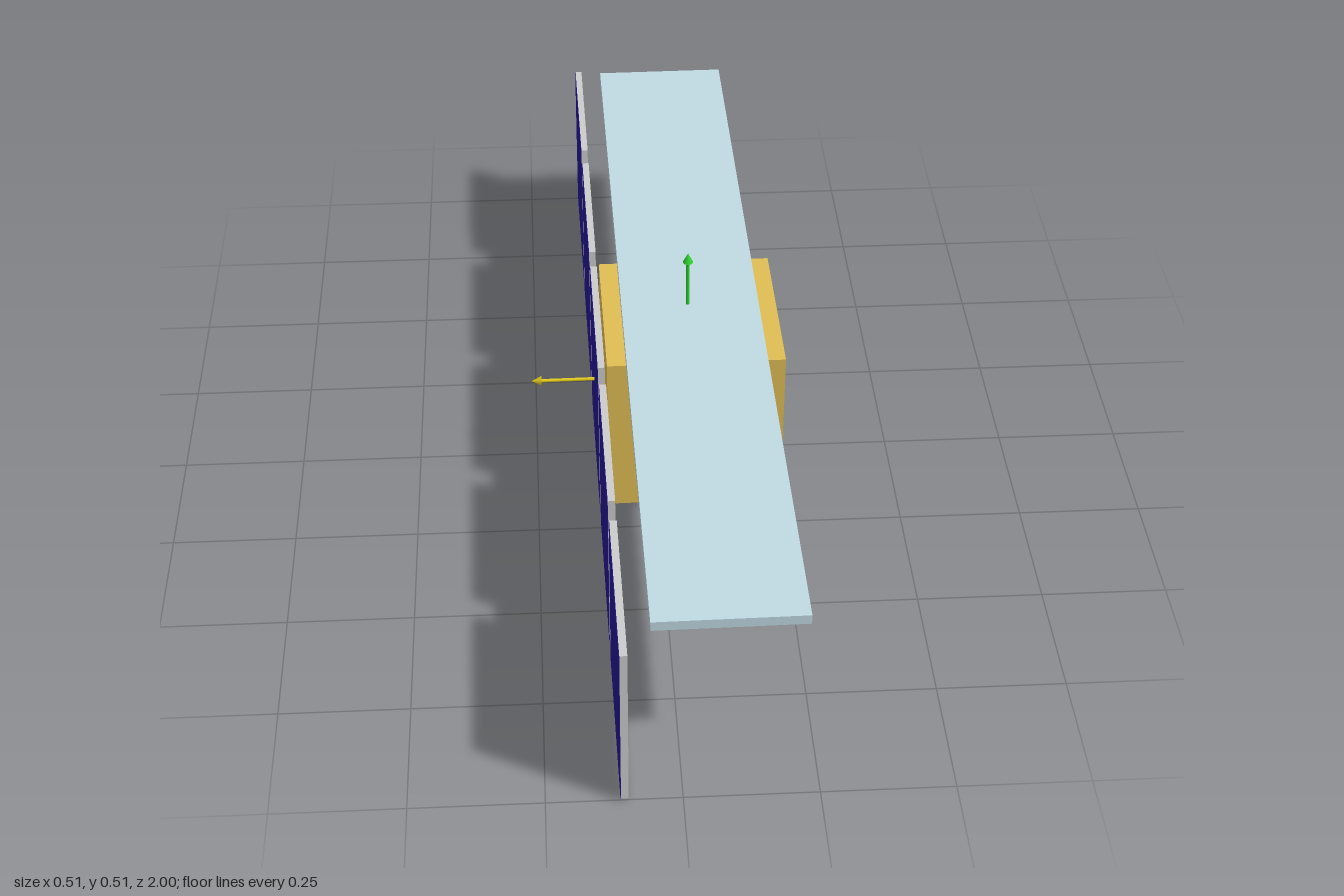
import * as THREE from 'three';

const mat = (color) => new THREE.MeshStandardMaterial({ color });
const GREY = mat(0xcccccc), GOLD = mat(0xe0bc54), BLUE = mat(0x22178c);
const PALE = mat(0xc0d9e2), RED = mat(0xd42020);
const GREEN = mat(0x30d030), YELLOW = mat(0xe0c81e);

function add(parent, name, geometry, material, x = 0, y = 0, z = 0) {
  const mesh = new THREE.Mesh(geometry, material);
  mesh.name = name;
  mesh.position.set(x, y, z);
  parent.add(mesh);
  return mesh;
}

// Thin rod with a cone tip, pointing along dir from its start point
function arrow(name, material, start, dir, length) {
  const g = new THREE.Group(), head = 0.021;
  g.name = name;
  add(g, 'shaft', new THREE.CylinderGeometry(0.0036, 0.0036, length - head, 16), material, 0, (length - head) / 2);
  add(g, 'tip', new THREE.ConeGeometry(0.0105, head, 16), material, 0, length - head / 2);
  g.position.set(...start);
  g.quaternion.setFromUnitVectors(new THREE.Vector3(0, 1, 0), new THREE.Vector3(...dir));
  return g;
}

export function createModel() {
  const model = new THREE.Group();
  model.name = 'satellite';
  const cx = 0.075, cz = -0.003;

  // Cubic body with a round emblem-free adapter disc underneath
  add(model, 'body', new THREE.BoxGeometry(0.36, 0.36, 0.36), GOLD, cx, 0.183, cz);
  add(model, 'bottomDisc', new THREE.CylinderGeometry(0.097, 0.097, 0.004, 48), RED, 0.07, 0.002, cz);

  // Long flat antenna plate on top
  add(model, 'antennaPlate', new THREE.BoxGeometry(0.283, 0.02, 1.895), PALE, cx, 0.373, -0.005);

  // Row of five solar panels: grey backing, blue cells on the outer side
  const size = 0.356, pitch = 0.411, wingX = -0.1165;
  for (let i = -2; i <= 2; i++) {
    const panel = new THREE.Group();
    panel.name = 'solarPanel';
    add(panel, 'backing', new THREE.BoxGeometry(0.014, size, size), GREY);
    add(panel, 'cells', new THREE.BoxGeometry(0.001, size, size), BLUE, -0.0075);
    panel.position.set(wingX, 0.183, i * pitch);
    model.add(panel);
  }

  // Pairs of hinge bars bridging the gaps
  for (const i of [-1.5, -0.5, 0.5, 1.5]) {
    for (const y of [0.113, 0.262]) {
      add(model, 'hingeBar', new THREE.BoxGeometry(0.008, 0.029, pitch - size), GREY, wingX, y, i * pitch);
    }
  }

  // Direction arrows
  model.add(
    arrow('upArrow', GREEN, [0.07, 0.363, 0], [0, 1, 0], 0.145),
    arrow('sideArrow', YELLOW, [-0.123, 0.198, 0], [-1, 0, 0], 0.134),
    arrow('rearArrow', GREY, [0.07, 0.2, -0.18], [0, 0, -1], 0.133),
  );

  // The whole craft is yawed very slightly
  model.rotation.y = 0.0105;
  const root = new THREE.Group();
  root.add(model);
  return root;
}
